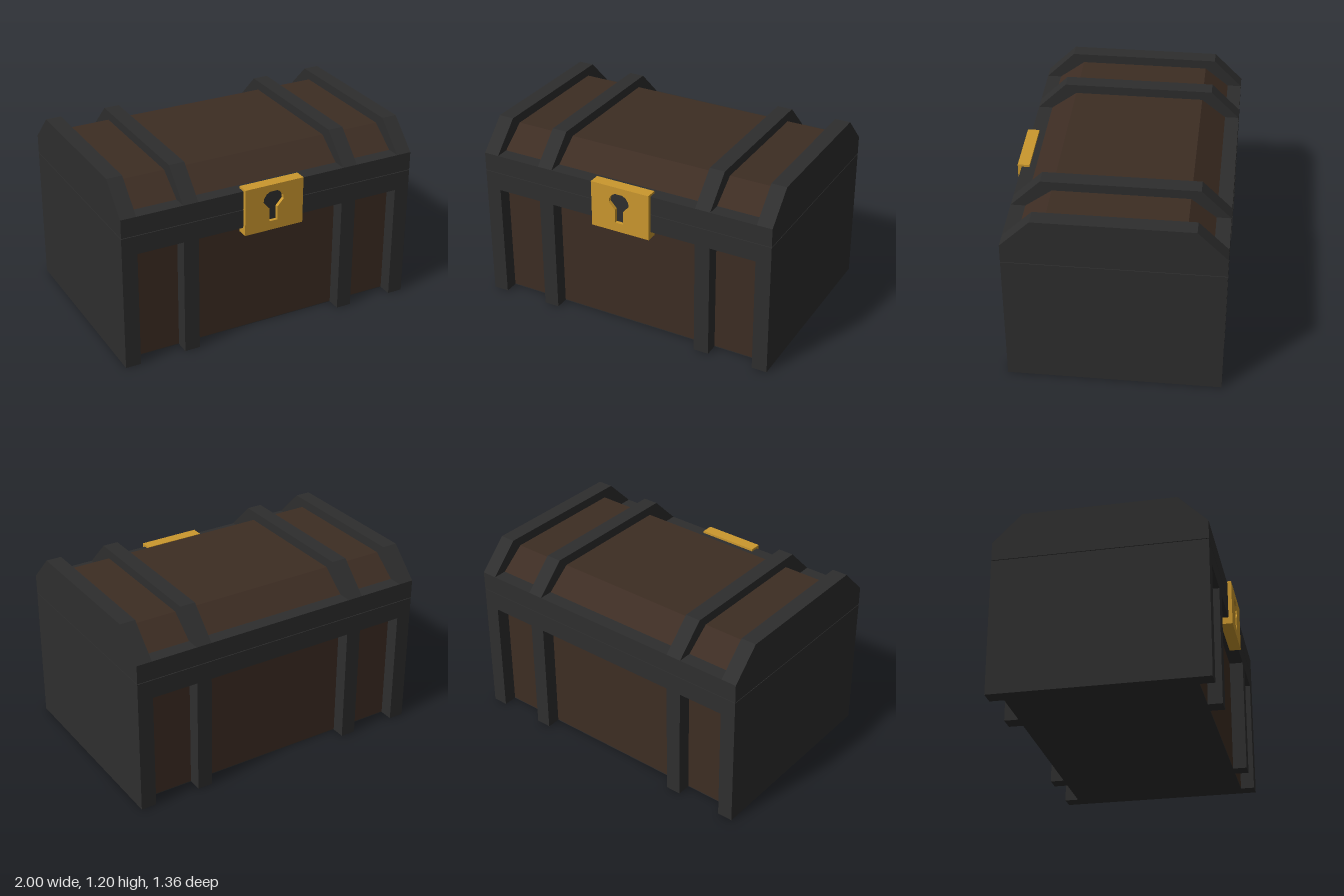
import * as THREE from 'three';

const FRONT = 0.655, BACK = -0.68, INSET = 0.09, SEAM = 0.885, GAP = 0.004, RIM_TOP = 1.01;

export function createModel() {
  const chest = new THREE.Group();
  chest.name = 'chest';
  const material = (name, color) => {
    const m = new THREE.MeshStandardMaterial({ color });
    m.name = name;
    return m;
  };
  const iron = material('dark iron', 0x2e2e2e);
  const wood = material('brown wood', 0x3d2d23);
  const brass = material('brass', 0xcb982e);

  const add = (name, geometry, mat) => {
    const mesh = new THREE.Mesh(geometry, mat);
    mesh.name = name;
    chest.add(mesh);
  };
  const block = (name, mat, x0, x1, y0, y1, z0, z1) => add(name,
    new THREE.BoxGeometry(x1 - x0, y1 - y0, z1 - z0)
      .translate((x0 + x1) / 2, (y0 + y1) / 2, (z0 + z1) / 2), mat);
  // Side profile of [z, y] points, swept from x0 to x1
  const sweep = (name, mat, x0, x1, points) => {
    const shape = new THREE.Shape(points.map(([z, y]) => new THREE.Vector2(z, y)));
    add(name, new THREE.ExtrudeGeometry(shape, { depth: x1 - x0, bevelEnabled: false })
      .rotateY(-Math.PI / 2).translate(x1, 0, 0), mat);
  };

  // Wooden core with bevelled lid, on an iron base
  const zf = FRONT - INSET, zb = BACK + INSET;
  sweep('woodenCore', wood, -0.9, 0.9, [
    [zb, 0.005], [zf, 0.005], [zf, RIM_TOP], [0.4, 1.135], [-0.435, 1.135], [zb, RIM_TOP],
  ]);
  block('base', iron, -0.9, 0.9, 0, 0.005, zb, zf);

  // End walls and straps, split at the lid seam
  for (const [name, x0, x1] of [
    ['rightEnd', -1, -0.9], ['rightStrap', -0.6, -0.5], ['leftStrap', 0.5, 0.6], ['leftEnd', 0.9, 1],
  ]) {
    block(name + 'Body', iron, x0, x1, 0, SEAM, BACK, FRONT);
    sweep(name + 'Lid', iron, x0, x1, [
      [BACK, SEAM + GAP], [FRONT, SEAM + GAP], [FRONT, RIM_TOP],
      [0.47, 1.195], [-0.495, 1.195], [BACK, RIM_TOP],
    ]);
  }

  // Rims between the straps, front and back
  for (const [x0, x1] of [[-0.9, -0.6], [-0.5, 0.5], [0.6, 0.9]]) {
    for (const [side, z0, z1] of [['front', zf, FRONT], ['back', BACK, zb]]) {
      block(side + 'BodyRim', iron, x0, x1, 0.765, SEAM, z0, z1);
      block(side + 'LidRim', iron, x0, x1, SEAM + GAP, RIM_TOP, z0, z1);
    }
  }

  // Lock plate with a keyhole cut through to the iron rim
  const plate = new THREE.Shape([[-0.2, 0.72], [0.2, 0.72], [0.2, 1.025], [-0.2, 1.025]]
    .map(([x, y]) => new THREE.Vector2(x, y)));
  const half = [[0.028, 0.78], [0.028, 0.868], [0.07, 0.915], [0.066, 0.94], [0.05, 0.966], [0.025, 0.98]];
  const cx = -0.006;
  plate.holes.push(new THREE.Path([
    ...half.map(([x, y]) => new THREE.Vector2(cx + x, y)),
    ...half.slice().reverse().map(([x, y]) => new THREE.Vector2(cx - x, y)),
  ]));
  add('lockPlate', new THREE.ExtrudeGeometry(plate, { depth: 0.075, bevelEnabled: false })
    .translate(0, 0, 0.605), brass);
  block('keyholeBacking', iron, -0.09, 0.08, 0.77, 0.99, 0.65, 0.657);

  return chest;
}
